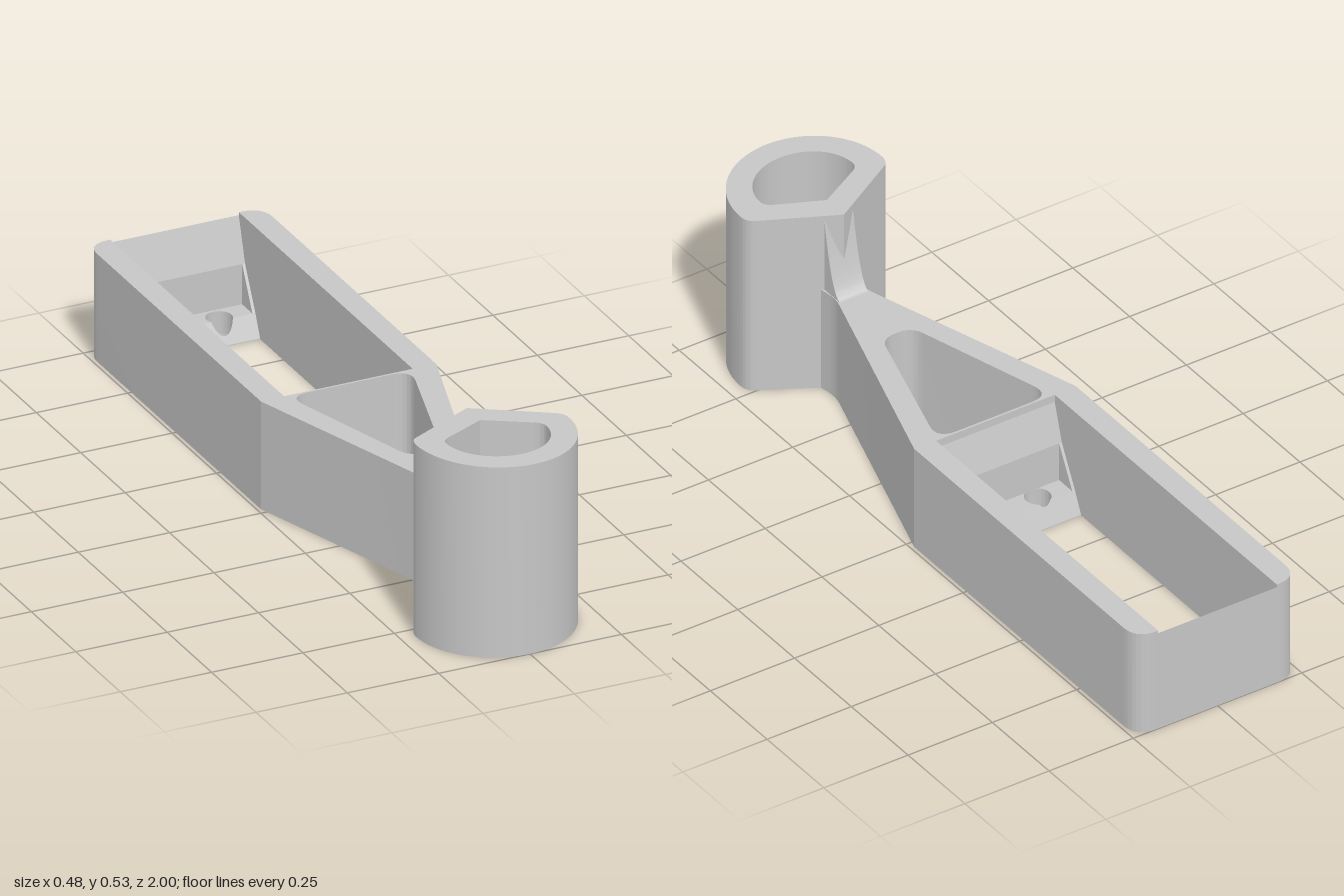
import * as THREE from 'three';
import { toCreasedNormals } from 'three/addons/utils/BufferGeometryUtils.js';

const grey = new THREE.MeshStandardMaterial({ color: 0xc6c6c6 });
grey.name = 'plainGrey';

// Closed path through [x, z, cornerRadius] points, drawn in plan (shape y = -z)
function roundedPlan(points, PathType = THREE.Shape) {
  const path = new PathType();
  const pts = points.map(([x, z]) => new THREE.Vector2(x, -z));
  pts.forEach((p, i) => {
    const r = points[i][2] || 0;
    const prev = pts[(i + pts.length - 1) % pts.length];
    const next = pts[(i + 1) % pts.length];
    const a = p.clone().add(prev.clone().sub(p).setLength(r));
    const b = p.clone().add(next.clone().sub(p).setLength(r));
    if (i === 0) path.moveTo(a.x, a.y); else path.lineTo(a.x, a.y);
    if (r) path.quadraticCurveTo(p.x, p.y, b.x, b.y);
  });
  path.closePath();
  return path;
}

// Mirrors one side of a plan outline across x = 0, counter-clockwise from above
const mirrored = (side) => [...side.map(([x, z, r]) => [-x, z, r]), ...[...side].reverse()];

function addMesh(group, name, geometry) {
  const mesh = new THREE.Mesh(toCreasedNormals(geometry, 0.25), grey);
  mesh.name = name;
  group.add(mesh);
}

// Upright extrusion of a plan, optionally with its height set by a rule
function upright(shape, height, topRule) {
  const g = new THREE.ExtrudeGeometry(shape, { depth: height, bevelEnabled: false, curveSegments: 32 });
  g.rotateX(-Math.PI / 2);
  if (topRule) {
    const p = g.attributes.position;
    for (let i = 0; i < p.count; i++) {
      if (p.getY(i) > height / 2) p.setY(i, topRule(p.getX(i), p.getZ(i)));
    }
  }
  return g;
}

// Sideways extrusion of a (z, y) profile, centred on x
function sideways(shape, width, x = 0) {
  const g = new THREE.ExtrudeGeometry(shape, { depth: width, bevelEnabled: false, curveSegments: 16 });
  g.rotateY(-Math.PI / 2);
  g.translate(x + width / 2, 0, 0);
  return g;
}

const profile = (pts) => new THREE.Shape(pts.map(([z, y]) => new THREE.Vector2(z, y)));

// Drilled ledge, leaning wall and side gussets; dir points into the tray
function addTrayEnd(group, name, wall, dir, holeD) {
  const end = new THREE.Group();
  end.name = name;
  const Z = (d) => wall + dir * d;
  const crease = 0.093, radius = 0.034, half = 0.178;
  const phi = Math.asin((crease - holeD) / radius);

  // Strip from the crease to edge d, with the part of each screw hole on its side cut out
  const strip = (d) => {
    const outward = d > crease;
    const s = new THREE.Shape();
    s.moveTo(-half, -Z(d));
    s.lineTo(half, -Z(d));
    s.lineTo(half, -Z(crease));
    for (const x of [0.085, -0.085]) {
      s.absarc(x, -Z(holeD), radius, -dir * phi, -dir * (Math.PI - phi), outward === (dir > 0));
    }
    s.lineTo(-half, -Z(crease));
    s.closePath();
    return s;
  };
  addMesh(end, 'screwLedge', upright(strip(0), 0.06));
  const slope = (x, z) => 0.06 - 2.15 * ((z - wall) * dir - crease);
  addMesh(end, 'ledgeChamfer', upright(strip(0.12), 0.06, slope));

  addMesh(end, 'leaningWall', sideways(profile([
    [Z(0), 0.058], [Z(0.035), 0.058], [Z(0.035), 0.17], [Z(0), 0.287]]), 0.354));
  for (const s of [-1, 1]) {
    addMesh(end, 'gusset', sideways(profile([
      [Z(0.03), 0.05], [Z(crease), 0.05], [Z(crease), 0.06], [Z(0.035), 0.17], [Z(0.03), 0.17]]), 0.01, s * 0.173));
  }
  group.add(end);
}

export function createModel() {
  const model = new THREE.Group();
  model.name = 'servoArmBracket';

  // Tray rails and tapering arm, open at the back and pierced by a triangular window
  const frame = roundedPlan(mirrored([
    [0.176, -0.022], [0.176, -1], [0.24, -1, 0.06], [0.24, -0.02], [0.041, 0.62, 0.03], [0.052, 0.685]]));
  frame.holes.push(roundedPlan(mirrored([[0.17, -0.016, 0.06], [0.044, 0.415, 0.04]]), THREE.Path));
  addMesh(model, 'armFrame', upright(frame, 0.295));

  // Ledges at both ends of the tray
  addTrayEnd(model, 'backTrayEnd', -1, 1, 0.076);
  addTrayEnd(model, 'frontTrayEnd', -0.018, -1, 0.064);

  // Hollow post with a pointed back and slanted top
  const post = new THREE.Shape();
  post.moveTo(0, -0.645);
  post.lineTo(-0.19, -0.752);
  post.quadraticCurveTo(-0.21, -0.763, -0.21, -0.79);
  post.absarc(0, -0.79, 0.21, Math.PI, Math.PI * 2, false);
  post.quadraticCurveTo(0.21, -0.763, 0.19, -0.752);
  post.closePath();
  const bore = new THREE.Path();
  bore.moveTo(0, -0.72);
  bore.lineTo(-0.11, -0.778);
  bore.quadraticCurveTo(-0.137, -0.79, -0.137, -0.81);
  bore.absellipse(0, -0.81, 0.137, 0.125, Math.PI, Math.PI * 2, false);
  bore.quadraticCurveTo(0.137, -0.79, 0.11, -0.778);
  bore.closePath();
  post.holes.push(bore);
  addMesh(model, 'hollowPost', upright(post, 0.51, (x) => 0.5175 - 0.038 * x));

  // Curved web between arm and post
  const web = new THREE.Shape();
  web.moveTo(0.6, 0.28);
  web.lineTo(0.68, 0.28);
  web.lineTo(0.68, 0.5);
  web.lineTo(0.668, 0.5);
  web.quadraticCurveTo(0.636, 0.3, 0.6, 0.295);
  web.closePath();
  addMesh(model, 'neckFillet', sideways(web, 0.085));

  return model;
}
